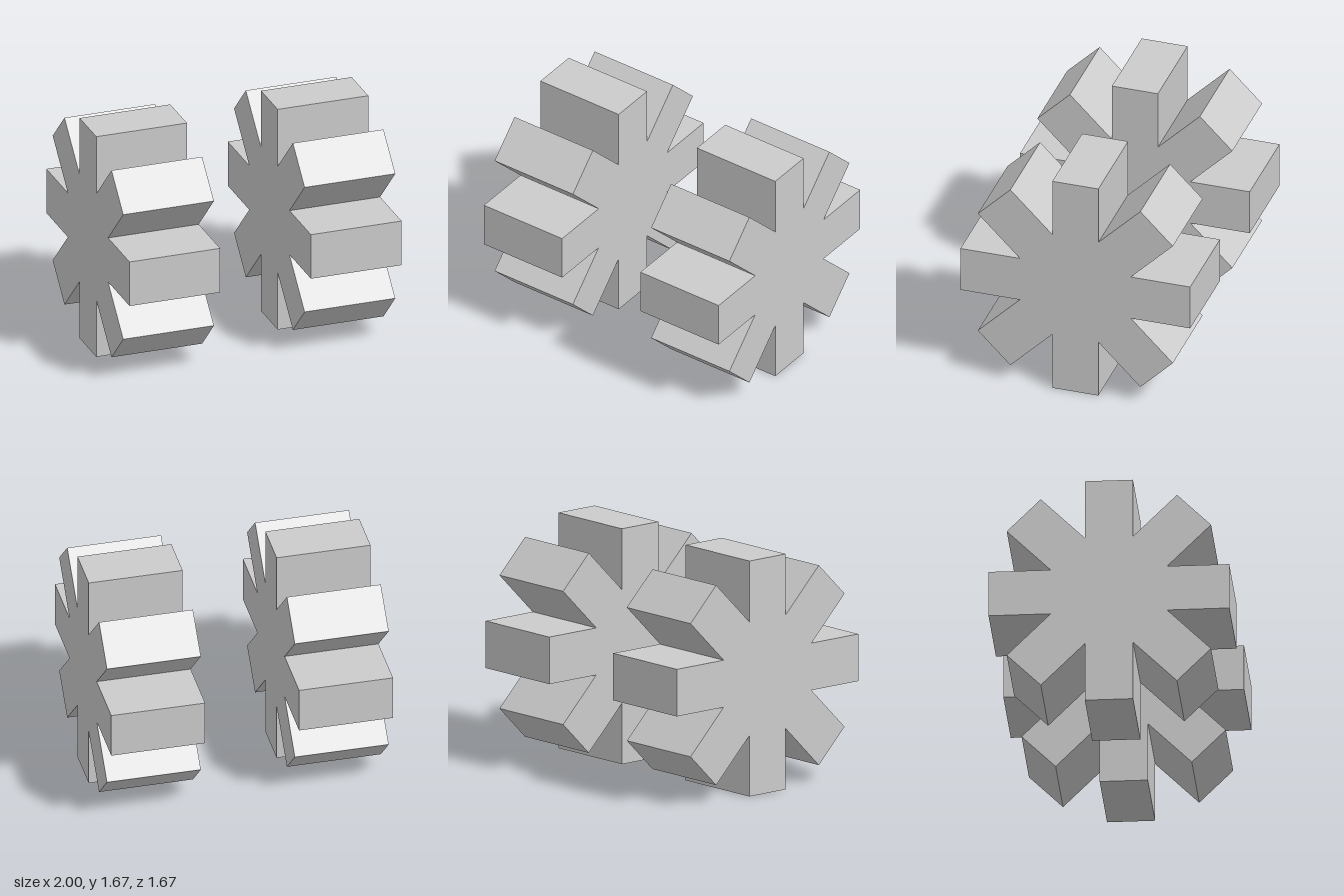
import * as THREE from 'three';

const ARMS = 8;
const RADIUS = 5 / 6;     // centre to arm tip
const HALF = 1 / 6;       // half the arm width
const WIDTH = 2 / 3;      // wheel thickness along x
const GAP = 1 / 3;        // inner face distance from the middle

// Eight-armed outline: two tip corners and one notch per arm
function starShape() {
  const notch = HALF / Math.tan(Math.PI / ARMS);
  const points = [];
  for (let i = 0; i < ARMS; i++) {
    const angle = (i / ARMS) * Math.PI * 2;
    for (const [x, y] of [[RADIUS, -HALF], [RADIUS, HALF], [notch, HALF]]) {
      points.push(new THREE.Vector2(x, y).rotateAround(new THREE.Vector2(), angle));
    }
  }
  return new THREE.Shape(points);
}

export function createModel() {
  const model = new THREE.Group();
  model.name = 'wheelPair';
  const material = new THREE.MeshStandardMaterial({ color: 0xcccccc, flatShading: true });

  // Star extruded along x, centred on its own axis
  const geometry = new THREE.ExtrudeGeometry(starShape(), { depth: WIDTH, bevelEnabled: false });
  geometry.translate(0, 0, -WIDTH / 2);
  geometry.rotateY(Math.PI / 2);

  // Left and right paddle wheels
  for (const [name, side] of [['leftWheel', 1], ['rightWheel', -1]]) {
    const wheel = new THREE.Mesh(geometry, material);
    wheel.name = name;
    wheel.position.set(side * (GAP + WIDTH / 2), RADIUS, 0);
    model.add(wheel);
  }
  return model;
}
